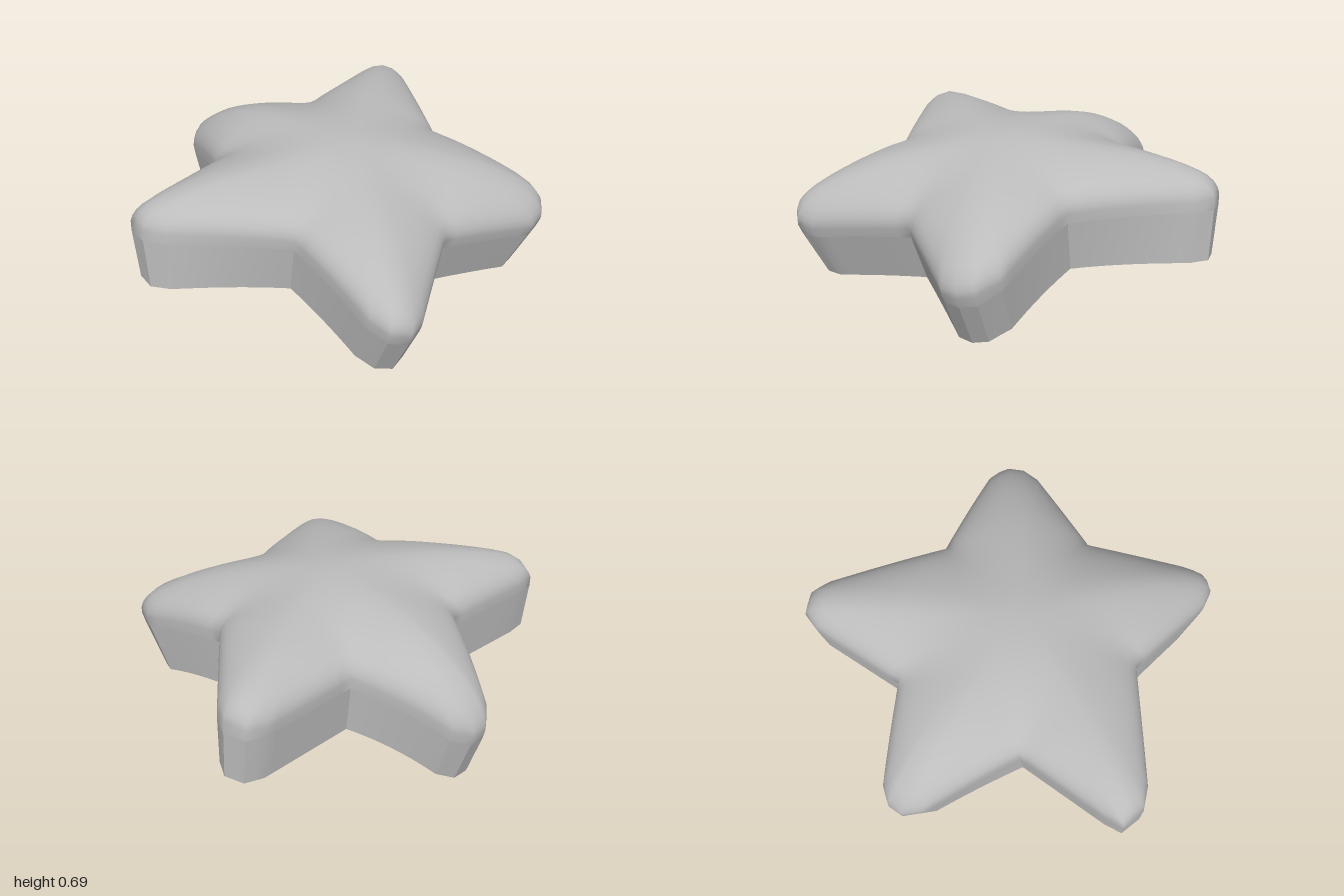
import * as THREE from 'three';
import { mergeVertices, toCreasedNormals } from 'three/addons/utils/BufferGeometryUtils.js';

// Rim of the star in plan (x, z): each arm is four tip points followed by a valley
const RIM = [
  [0.10, -0.95], [0.18, -1.00], [0.28, -0.97], [0.33, -0.88], [0.46, -0.31],
  [0.90, -0.06], [0.96, 0.04], [0.95, 0.12], [0.90, 0.19], [0.46, 0.41],
  [0.33, 0.90], [0.28, 0.98], [0.19, 1.00], [0.10, 0.95], [-0.22, 0.56],
  [-0.80, 0.54], [-0.90, 0.51], [-0.97, 0.41], [-0.92, 0.33], [-0.61, -0.03],
  [-0.80, -0.50], [-0.80, -0.60], [-0.75, -0.66], [-0.66, -0.68], [-0.20, -0.57],
];
const WALL = 0.25;                       // height of the side wall
const CENTRE = [0.03, 0];
const AXIS = [0.78, 0.63];               // direction in which the star droops

// Bends a flat point (x, height, z) over an arch with a flat crown; two arms also splay
function bend(x, h, z) {
  const w = x * AXIS[0] + z * AXIS[1] + 0.25;
  const v = z * AXIS[0] - x * AXIS[1];
  const tilt = 0.4 * w;
  const along = (h - 0.30) * Math.sin(tilt);
  const across = (h - 0.30) * 0.25 * v * Math.max(w, 0);
  const drop = (w < 0 ? 0.40 : 0.178) * Math.abs(w) ** 2.35;
  return [
    x + along * AXIS[0] - across * AXIS[1],
    0.44 - drop + (h - WALL) * Math.cos(tilt),
    z + along * AXIS[1] + across * AXIS[0],
  ];
}

// Rim with long edges divided so they can follow the arch
function outline() {
  const points = [];
  RIM.forEach(([x, z], i) => {
    const [x2, z2] = RIM[(i + 1) % RIM.length];
    const n = Math.max(1, Math.round(Math.hypot(x2 - x, z2 - z) / 0.06));
    for (let k = 0; k < n; k++) points.push([x + (x2 - x) * k / n, z + (z2 - z) * k / n]);
  });
  return points;
}

// Soft distance to the rim, blended over all its edges
function rimDistance(x, z) {
  let sum = 0;
  RIM.forEach(([ax, az], i) => {
    const [bx, bz] = RIM[(i + 1) % RIM.length];
    const ex = bx - ax, ez = bz - az;
    const t = THREE.MathUtils.clamp(((x - ax) * ex + (z - az) * ez) / (ex * ex + ez * ez), 0, 1);
    sum += Math.max(1e-5, Math.hypot(x - ax - ex * t, z - az - ez * t)) ** -6;
  });
  return sum ** (-1 / 6);
}

// Height of the pillow-like top
const puff = (x, z) => WALL + 0.25 * (rimDistance(x, z) / 0.37) ** 0.32;

// Joins closed rings of points into a surface
function skin(rings) {
  const n = rings[0].length, index = [];
  for (let r = 0; r + 1 < rings.length; r++) {
    for (let i = 0; i < n; i++) {
      const j = (i + 1) % n;
      const a = r * n + i, b = r * n + j, c = a + n, d = b + n;
      index.push(a, c, b, b, c, d);
    }
  }
  const geometry = new THREE.BufferGeometry();
  geometry.setAttribute('position', new THREE.Float32BufferAttribute(rings.flat(2), 3));
  geometry.setIndex(index);
  const merged = mergeVertices(geometry, 1e-5);
  merged.computeVertexNormals();
  return merged;
}

export function createModel() {
  const group = new THREE.Group();
  group.name = 'star';
  const grey = new THREE.MeshStandardMaterial({ color: 0xbcbcbc });
  grey.name = 'grey';

  const rim = outline();
  const ring = (scale, height) => rim.map(([px, pz]) => {
    const x = CENTRE[0] + (px - CENTRE[0]) * scale;
    const z = CENTRE[1] + (pz - CENTRE[1]) * scale;
    return bend(x, height(x, z), z);
  });

  // Puffed top, side wall and hollowed underside
  const insets = [0.996, 0.985, 0.965, 0.935, 0.9, 0.85, 0.79, 0.72, 0.64, 0.55, 0.45, 0.34, 0.22, 0.1, 0];
  const top = skin([ring(1, () => WALL), ...insets.map((s) => ring(s, puff))]);
  const wall = toCreasedNormals(skin([0, WALL / 2, WALL].map((h) => ring(1, () => h))), 0.35);
  const underside = skin([0, 0.2, 0.4, 0.6, 0.8, 1].map((s) => ring(s, () => 0)));

  // Rest the star on the ground, centred
  wall.computeBoundingBox();
  top.computeBoundingBox();
  const box = wall.boundingBox.clone().union(top.boundingBox);
  const mid = box.getCenter(new THREE.Vector3());

  Object.entries({ top, wall, underside }).forEach(([name, geometry]) => {
    geometry.translate(-mid.x, -box.min.y, -mid.z);
    const mesh = new THREE.Mesh(geometry, grey);
    mesh.name = name;
    group.add(mesh);
  });
  return group;
}
